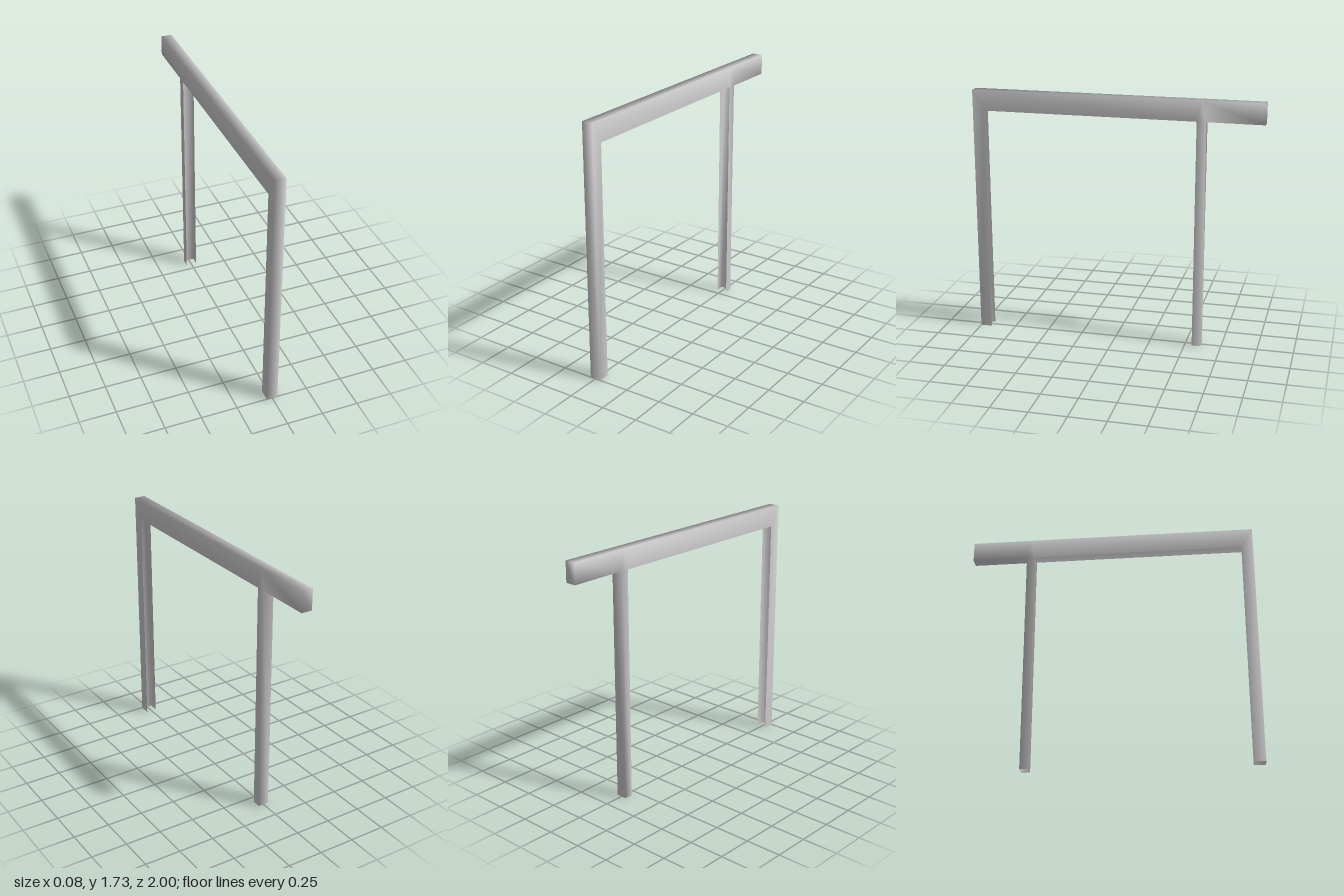
import * as THREE from 'three';

// Side profile as [z, y]: capitals lie on the outer skin, small letters on the open inner edge
const PROFILE = {
  A: [1, 0], B: [1, 1.73], C: [-0.58, 1.73], D: [-1, 1.73], E: [-1, 1.59],
  F: [-0.61, 1.59], G: [-0.61, 0],
  a: [0.92, 0], b: [0.92, 1.59], f: [-0.55, 1.59], g: [-0.55, 0],
};
const HALF_WIDTH = 0.038;
const NAMES = Object.keys(PROFILE);

// Each part: its side walls (mirrored in x) and the skin strips joining them
const PARTS = {
  frontLeg: { walls: ['AabB'], skin: ['AB'] },
  topBeam: { walls: ['BbfC', 'CfF', 'CFED'], skin: ['BC', 'CD', 'DE', 'EF'] },
  rearLeg: { walls: ['fgGF'], skin: ['FG'] },
};

// Corner index on the left (+x) or right (-x) wall
const left = (c) => NAMES.indexOf(c) * 2;
const right = (c) => left(c) + 1;

function fan(corners) {
  const out = [];
  for (let i = 1; i < corners.length - 1; i++) out.push(corners[0], corners[i], corners[i + 1]);
  return out;
}

function partIndices({ walls, skin }) {
  const out = [];
  for (const wall of walls) {
    const c = [...wall];
    out.push(...fan(c.map(left)), ...fan(c.map(right).reverse()));
  }
  for (const [p, q] of skin) out.push(...fan([left(p), left(q), right(q), right(p)]));
  return out;
}

export function createModel() {
  const group = new THREE.Group();
  group.name = 'channelFrame';
  const material = new THREE.MeshStandardMaterial({ color: 0xcccccc, side: THREE.DoubleSide });

  // Whole shell, so that smooth normals run across the joints
  const positions = [];
  for (const n of NAMES) {
    const [z, y] = PROFILE[n];
    positions.push(HALF_WIDTH, y, z, -HALF_WIDTH, y, z);
  }
  const shell = new THREE.BufferGeometry();
  shell.setAttribute('position', new THREE.Float32BufferAttribute(positions, 3));
  shell.setIndex(Object.values(PARTS).flatMap(partIndices));
  shell.computeVertexNormals();

  // Split the shell into named parts
  for (const [name, part] of Object.entries(PARTS)) {
    const geometry = shell.clone();
    geometry.setIndex(partIndices(part));
    const mesh = new THREE.Mesh(geometry.toNonIndexed(), material);
    mesh.name = name;
    group.add(mesh);
  }
  return group;
}
